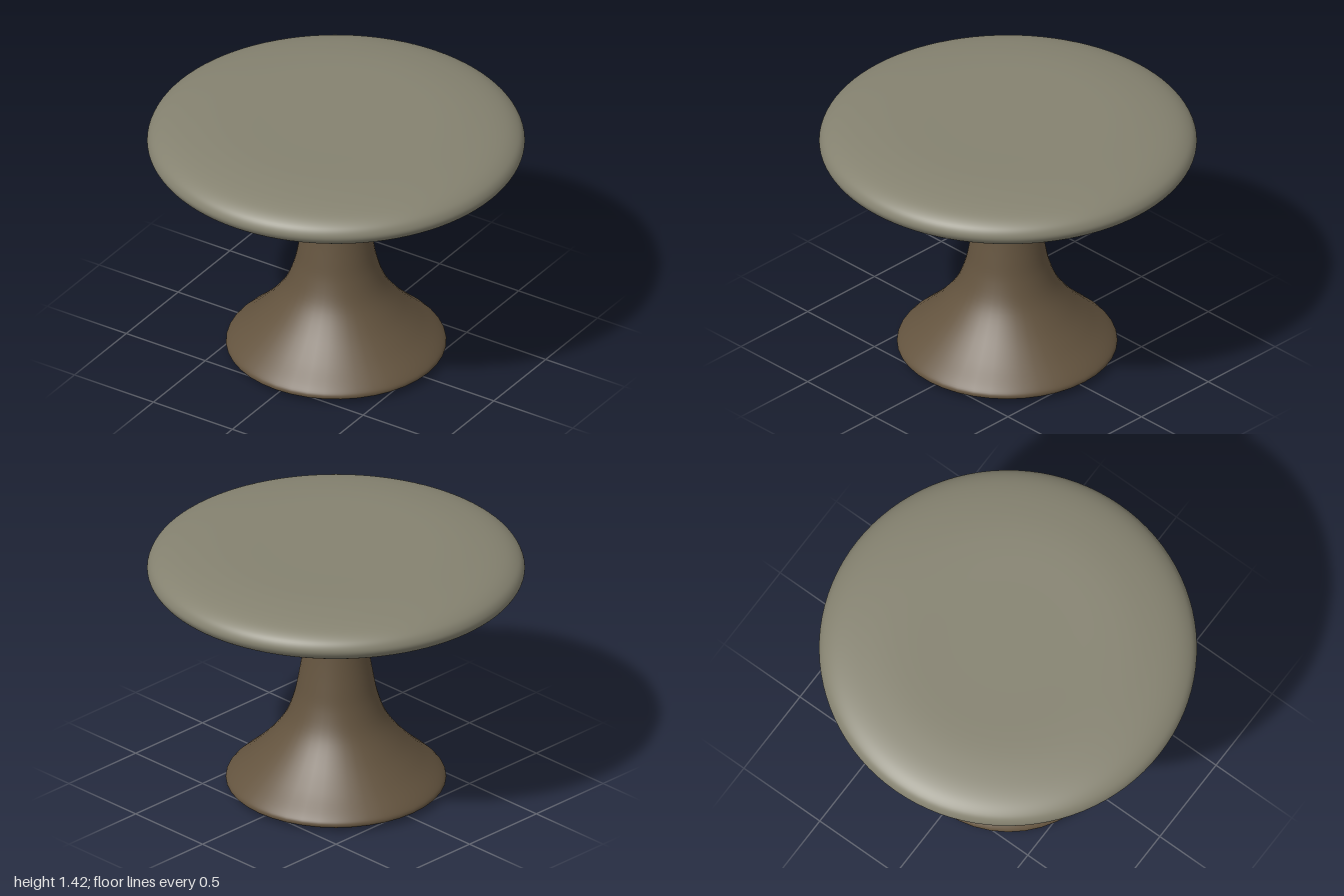
import * as THREE from 'three';

// Smooth turned part: a spline through [radius, height] points, closed on the axis
function turned(name, profile, steps, sides, color) {
  const curve = new THREE.SplineCurve(profile.map(([r, y]) => new THREE.Vector2(r, y)));
  const points = curve.getPoints(steps);
  points.forEach((p) => { p.x = Math.max(p.x, 0); });
  points[0].x = 0;
  points[points.length - 1].x = 0;
  const mesh = new THREE.Mesh(
    new THREE.LatheGeometry(points, sides),
    new THREE.MeshStandardMaterial({ color })
  );
  mesh.name = name;
  return mesh;
}

export function createModel() {
  const group = new THREE.Group();
  group.name = 'pedestalTable';

  // Thick round top, fuller at the lower edge, with a soft upper shoulder
  group.add(turned('tableTop', [
    [0, 1.2], [0.3, 1.2], [0.55, 1.2], [0.75, 1.202], [0.88, 1.212], [0.96, 1.235],
    [0.995, 1.27], [0.998, 1.305], [0.97, 1.345], [0.9, 1.38], [0.78, 1.405],
    [0.6, 1.42], [0.3, 1.42], [0, 1.42],
  ], 78, 96, 0x858270));

  // Flared pedestal with a rolled foot and a rounded neck
  const pedestal = turned('pedestal', [
    [0, 0.005], [0.25, 0.005], [0.42, 0.008], [0.52, 0.016], [0.57, 0.03], [0.584, 0.05],
    [0.56, 0.085], [0.46, 0.175], [0.36, 0.28], [0.275, 0.4], [0.225, 0.53],
    [0.198, 0.66], [0.172, 0.82], [0.156, 0.96], [0.157, 1.08], [0.157, 1.14],
    [0.145, 1.18], [0.115, 1.202], [0, 1.205],
  ], 90, 40, 0x64543f);
  pedestal.position.set(0.003, 0, 0.003);
  group.add(pedestal);

  return group;
}
